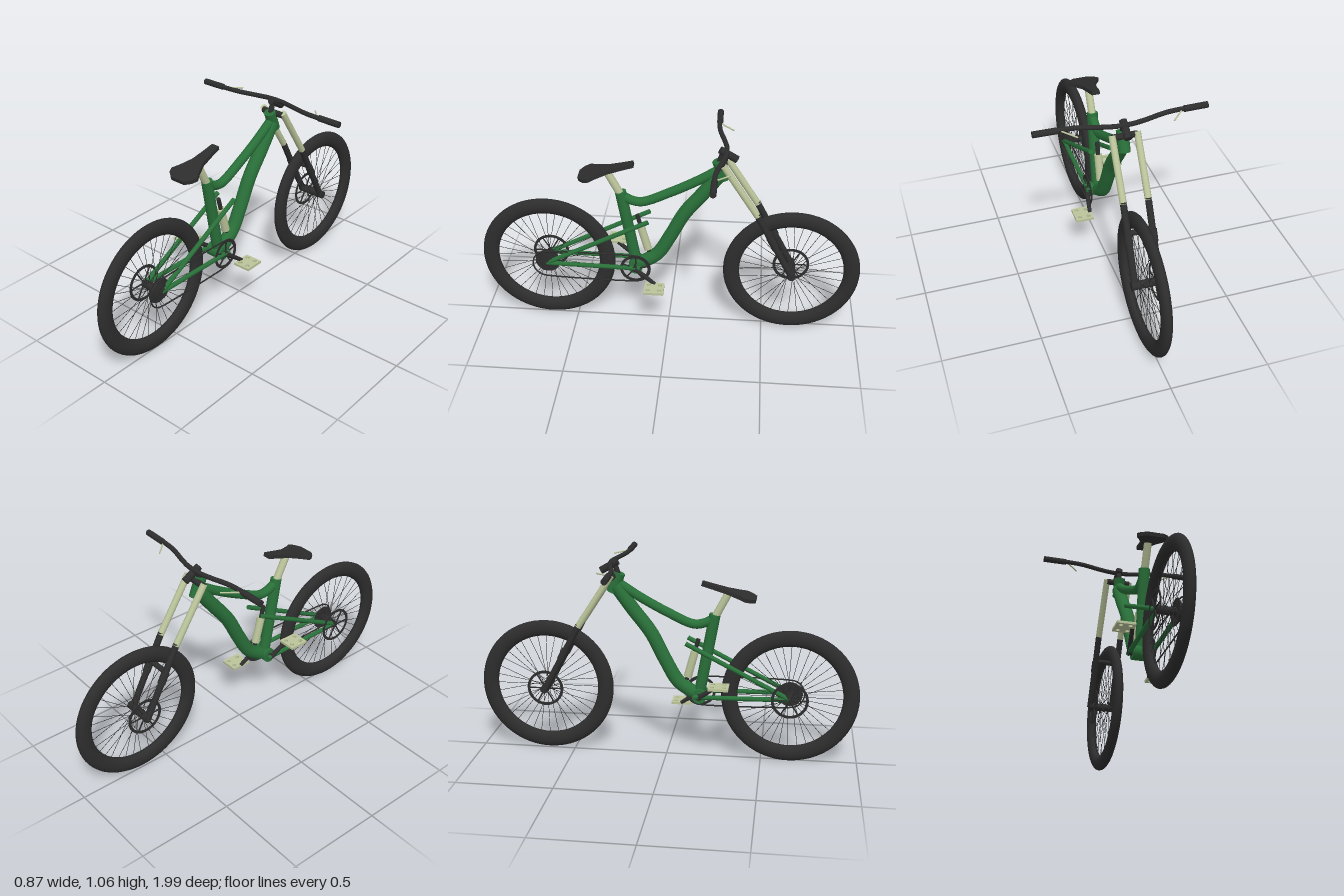
import * as THREE from 'three';

const mat = (name, color, side = THREE.FrontSide) => {
  const m = new THREE.MeshStandardMaterial({ color, side });
  m.name = name;
  return m;
};
const black = mat('black rubber and metal', 0x2d2d2d);
const green = mat('green frame paint', 0x296f39);
const cream = mat('pale cream metal', 0xbac49a);

const V = (x, y, z) => new THREE.Vector3(x, y, z);
const BB = V(0, 0.35, 0.175); // crank centre
const REAR = V(-0.008, 0.36, 0.642), FRONT = V(0.018, 0.36, -0.64);

export function createModel() {
  const bike = new THREE.Group();
  bike.name = 'mountainBike';

  const add = (name, geo, material, parent = bike) => {
    const m = new THREE.Mesh(geo, material);
    m.name = name;
    parent.add(m);
    return m;
  };
  // Straight round bar from a to b
  const rod = (name, material, a, b, r, rEnd = r, parent = bike, sides = 20) => {
    const m = add(name, new THREE.CylinderGeometry(rEnd, r, a.distanceTo(b), sides), material, parent);
    m.position.copy(a).add(b).multiplyScalar(0.5);
    m.quaternion.setFromUnitVectors(V(0, 1, 0), b.clone().sub(a).normalize());
    return m;
  };
  // Bent round bar through points
  const bent = (name, material, pts, r, closed = false, segs = 48, sides = 16) =>
    add(name, new THREE.TubeGeometry(new THREE.CatmullRomCurve3(pts, closed), segs, r, sides, closed), material);
  // Thin flat ring with arms, facing sideways
  const spider = (name, centre, rOut, rIn, arms, phase = 0) => {
    const g = new THREE.Group();
    g.name = name;
    g.position.copy(centre);
    const s = new THREE.Shape().absarc(0, 0, rOut, 0, Math.PI * 2);
    s.holes.push(new THREE.Path().absarc(0, 0, rIn, 0, Math.PI * 2, true));
    const geo = new THREE.ExtrudeGeometry(s, { depth: 0.004, bevelEnabled: false, curveSegments: 32 });
    add('ring', geo.translate(0, 0, -0.002).rotateY(Math.PI / 2), black, g);
    for (let i = 0; i < arms; i++) {
      const a = phase + (i / arms) * Math.PI * 2;
      rod('arm', black, V(0, 0, 0), V(0, Math.sin(a) * rIn * 1.02, Math.cos(a) * rIn * 1.02), 0.004, 0.004, g, 6);
    }
    bike.add(g);
  };

  // Wheels: tyre, spokes
  for (const [name, c] of [['rearWheel', REAR], ['frontWheel', FRONT]]) {
    const wheel = new THREE.Group();
    wheel.name = name;
    wheel.position.copy(c);
    bike.add(wheel);
    const tyre = new THREE.TorusGeometry(0.313, 0.042, 20, 72).scale(1, 1, 0.62).rotateY(Math.PI / 2);
    add('tyre', tyre, black, wheel);
    for (let i = 0; i < 36; i++) {
      const a = (i / 36) * Math.PI * 2, s = i % 2 ? 1 : -1;
      const lead = a + (i % 4 < 2 ? 0.5 : -0.5);
      rod('spoke', black, V(s * 0.022, Math.sin(lead) * 0.02, Math.cos(lead) * 0.02),
        V(0, Math.sin(a) * 0.28, Math.cos(a) * 0.28), 0.0013, 0.0013, wheel, 5);
    }
  }

  // Hubs, brake discs, sprockets
  rod('rearHub', black, V(-0.065, 0.36, 0.642), V(0.063, 0.36, 0.642), 0.021);
  rod('frontHub', black, V(-0.072, 0.36, -0.64), V(0.08, 0.36, -0.64), 0.021);
  spider('rearBrakeDisc', V(-0.068, 0.36, 0.642), 0.096, 0.082, 6);
  spider('frontBrakeDisc', V(-0.043, 0.36, -0.64), 0.096, 0.082, 6);
  for (let i = 0; i < 5; i++) {
    const x = 0.03 + i * 0.006;
    rod('sprocket', black, V(x, 0.36, 0.642), V(x + 0.004, 0.36, 0.642), 0.066 - i * 0.007, 0.066 - i * 0.007, bike, 32);
  }

  // Frame
  bent('topTube', green, [V(0, 0.765, 0.245), V(0, 0.738, 0.195), V(0, 0.73, 0.14), V(0, 0.795, -0.01),
    V(0, 0.865, -0.14), V(0, 0.935, -0.25)], 0.024);
  bent('downTube', green, [V(0, 0.92, -0.262), V(0, 0.8, -0.175), V(0, 0.675, -0.08), V(0, 0.53, -0.005),
    V(0, 0.42, 0.06), V(0, 0.36, 0.14)], 0.036);
  rod('seatTube', green, V(0, 0.35, 0.172), V(0, 0.785, 0.248), 0.029);
  rod('headTube', green, V(0, 0.885, -0.28), V(0, 0.985, -0.24), 0.03);
  rod('crankShell', green, V(-0.045, BB.y, BB.z), V(0.045, BB.y, BB.z), 0.038);
  for (const [side, x] of [['left', 0.053], ['right', -0.057]]) {
    rod(side + 'Chainstay', green, V(x, 0.352, 0.15), V(x, 0.36, 0.645), 0.012);
    rod(side + 'Seatstay', green, V(x, 0.64, 0.105), V(x, 0.36, 0.645), 0.012);
  }

  // Rear shock
  rod('shockShaft', black, V(0, 0.65, 0.165), V(0, 0.43, 0.107), 0.011);
  rod('shockBody', cream, V(0, 0.585, 0.148), V(0, 0.445, 0.111), 0.021);

  // Seat post and saddle
  rod('seatPost', cream, V(0, 0.765, 0.246), V(0, 0.905, 0.318), 0.02);
  const half = [[0.021, -0.143], [0.026, -0.08], [0.035, -0.01], [0.06, 0.05], [0.083, 0.09], [0.07, 0.118], [0.04, 0.143]];
  const outline = [...half, ...half.map(([x, s]) => [-x, s]).reverse()].map(p => new THREE.Vector2(...p));
  const saddleGeo = new THREE.ExtrudeGeometry(new THREE.Shape(outline), { depth: 0.02, bevelEnabled: false });
  const saddle = add('saddle', saddleGeo.translate(0, 0, -0.01).rotateX(Math.PI / 2 + 0.27), black);
  saddle.position.set(0, 0.907, 0.317);

  // Fork
  for (const [side, x] of [['left', 0.06], ['right', -0.065]]) {
    rod(side + 'ForkUpper', cream, V(x, 0.985, -0.272), V(x, 0.71, -0.45), 0.017);
    rod(side + 'ForkLower', black, V(x, 0.72, -0.445), V(x, 0.355, -0.64), 0.0165);
    rod(side + 'ForkCollar', black, V(x, 0.585, -0.518), V(x, 0.53, -0.547), 0.02);
  }
  rod('forkBrace', black, V(-0.065, 0.585, -0.518), V(0.06, 0.585, -0.518), 0.014);
  rod('forkCrown', black, V(-0.065, 0.972, -0.272), V(0.06, 0.972, -0.272), 0.016);

  // Handlebar, stem, grips and levers
  rod('steerer', black, V(0, 0.97, -0.246), V(0, 1.035, -0.265), 0.014);
  rod('stem', black, V(0, 1.045, -0.25), V(0, 0.995, -0.335), 0.019);
  bent('handlebar', black, [-1, 1].flatMap(s => {
    const p = [V(s * 0.42, 1.042, -0.235), V(s * 0.23, 1.042, -0.24), V(s * 0.11, 1.04, -0.268), V(s * 0.04, 1.04, -0.282)];
    return s < 0 ? p : p.reverse();
  }), 0.012);
  for (const [side, s] of [['left', 1], ['right', -1]]) {
    rod(side + 'Grip', black, V(s * 0.31, 1.042, -0.237), V(s * 0.433, 1.042, -0.235), 0.016);
    rod(side + 'BrakeLever', cream, V(s * 0.3, 1.04, -0.24), V(s * 0.235, 1.035, -0.31), 0.004, 0.004, bike, 8);
  }

  // Chainring and chain
  spider('chainring', V(0.053, BB.y, BB.z), 0.079, 0.065, 5, 0.4);
  const loop = [];
  const arc = (y, z, r, from) => {
    for (let i = 0; i <= 8; i++) {
      const a = from + (i / 8) * Math.PI;
      loop.push(V(0.053, y + Math.sin(a) * r, z + Math.cos(a) * r));
    }
  };
  arc(0.354, 0.642, 0.076, -Math.PI / 2);
  arc(BB.y, BB.z, 0.079, Math.PI / 2);
  bent('chain', black, loop, 0.004, true, 120, 6);

  // Cranks and pedals
  rod('crankAxle', black, V(-0.062, BB.y, BB.z), V(0.062, BB.y, BB.z), 0.016);
  const plate = new THREE.Shape([[-0.048, -0.052], [0.048, -0.052], [0.048, 0.052], [-0.048, 0.052]].map(p => new THREE.Vector2(...p)));
  for (const x of [-0.024, 0.024]) for (const y of [-0.03, 0.03])
    plate.holes.push(new THREE.Path().absarc(x, y, 0.011, 0, Math.PI * 2, true));
  const pedalGeo = new THREE.ExtrudeGeometry(plate, { depth: 0.013, bevelEnabled: false, curveSegments: 8 })
    .translate(0, 0, -0.0065).rotateX(Math.PI / 2);
  for (const [side, s] of [['left', 1], ['right', -1]]) {
    const end = V(s * 0.072, BB.y - s * 0.08, BB.z - s * 0.105);
    rod(side + 'Crank', black, V(s * 0.058, BB.y, BB.z), end, 0.013, 0.01);
    add(side + 'Pedal', pedalGeo, cream).position.set(s * 0.113, end.y - s * 0.002, end.z);
  }
  return bike;
}
